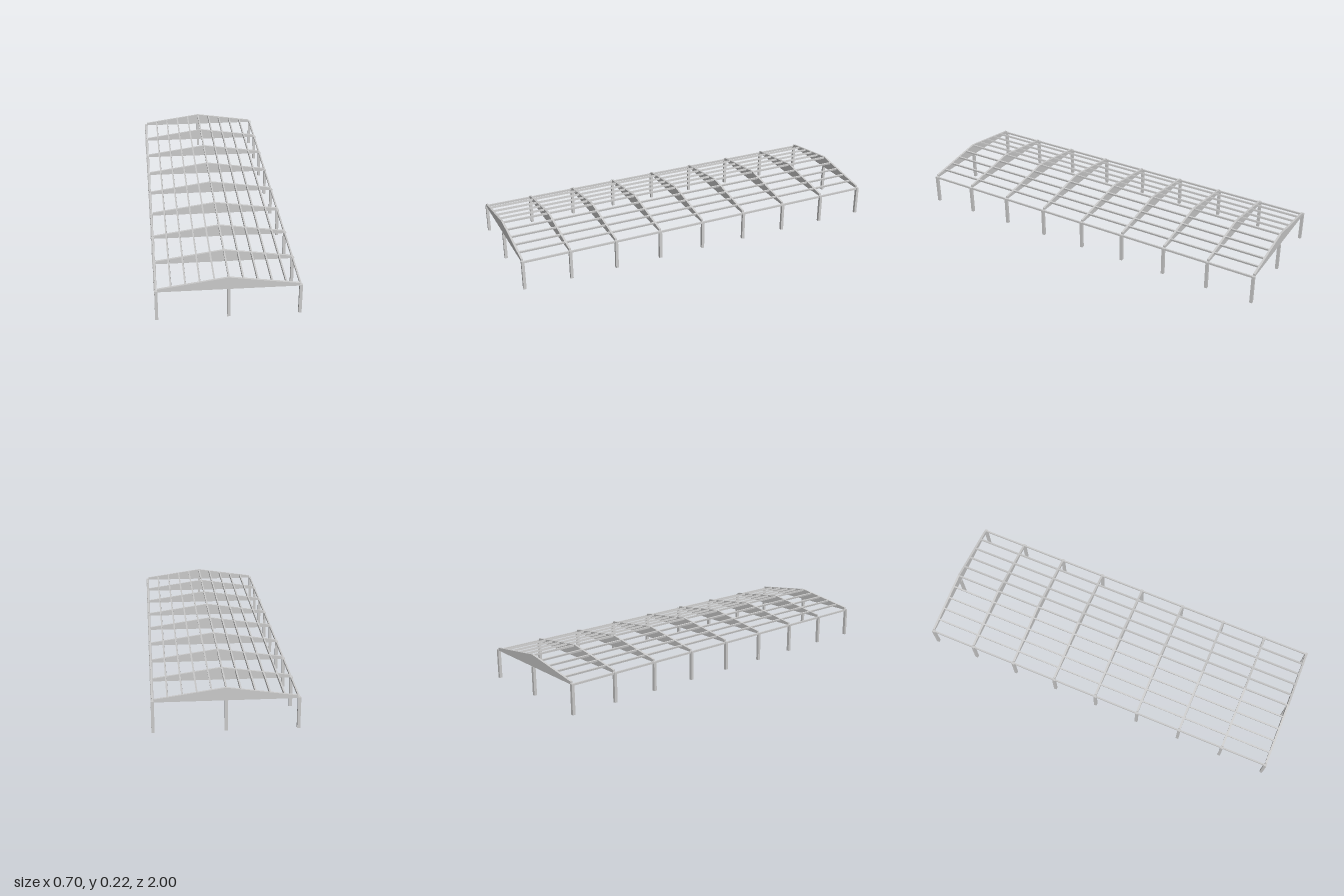
import * as THREE from 'three';

export function createModel() {
  const group = new THREE.Group();
  const material = new THREE.MeshStandardMaterial({ color: 0xcccccc, flatShading: true });

  const add = (name, geometry, x, y, z) => {
    const mesh = new THREE.Mesh(geometry, material);
    mesh.name = name;
    mesh.position.set(x, y, z);
    group.add(mesh);
    return mesh;
  };
  const box = (name, w, h, d, x, y, z) => add(name, new THREE.BoxGeometry(w, h, d), x, y, z);

  const bays = 8, endZ = 0.9925;
  const columnX = 0.342, columnSize = 0.015, columnTop = 0.157;
  const halfSpan = 0.336, beamBottom = 0.153, beamEave = 0.167, ridge = 0.216;
  const slope = (ridge - beamEave) / halfSpan;

  // Tapered roof beam, deepest at the ridge
  const profile = new THREE.Shape([
    new THREE.Vector2(-halfSpan, beamBottom),
    new THREE.Vector2(halfSpan, beamBottom),
    new THREE.Vector2(halfSpan, beamEave),
    new THREE.Vector2(0, ridge),
    new THREE.Vector2(-halfSpan, beamEave),
  ]);
  const beamDepth = 0.011;
  const beamGeometry = new THREE.ExtrudeGeometry(profile, { depth: beamDepth, bevelEnabled: false });
  beamGeometry.translate(0, 0, -beamDepth / 2);

  // Portal frames: a beam on two side columns
  for (let i = 0; i <= bays; i++) {
    const z = -endZ + (2 * endZ * i) / bays;
    add('roofBeam', beamGeometry, 0, 0, z);
    for (const side of [-1, 1]) {
      box('sideColumn', columnSize, columnTop, columnSize, side * columnX, columnTop / 2, z);
    }
  }

  // Middle columns under the two gable beams
  for (const end of [-1, 1]) {
    box('gableColumn', columnSize, beamBottom, columnSize, 0, beamBottom / 2, end * endZ);
  }

  // Eave beams along both sides
  for (const side of [-1, 1]) {
    box('eaveBeam', 0.008, 0.01, 2 * endZ, side * columnX, columnTop - 0.0055, 0);
  }

  // Purlins set flush with the sloping tops of the beams
  const purlinHeight = 0.01;
  for (let i = -4; i <= 4; i++) {
    const x = i * 0.068;
    const top = ridge - Math.abs(x) * slope - (i === 0 ? 0.0006 : 0);
    const purlin = box('purlin', 0.008, purlinHeight, 2 * endZ, x, top - purlinHeight / 2, 0);
    purlin.rotation.z = -Math.sign(i) * Math.atan(slope);
  }

  return group;
}
